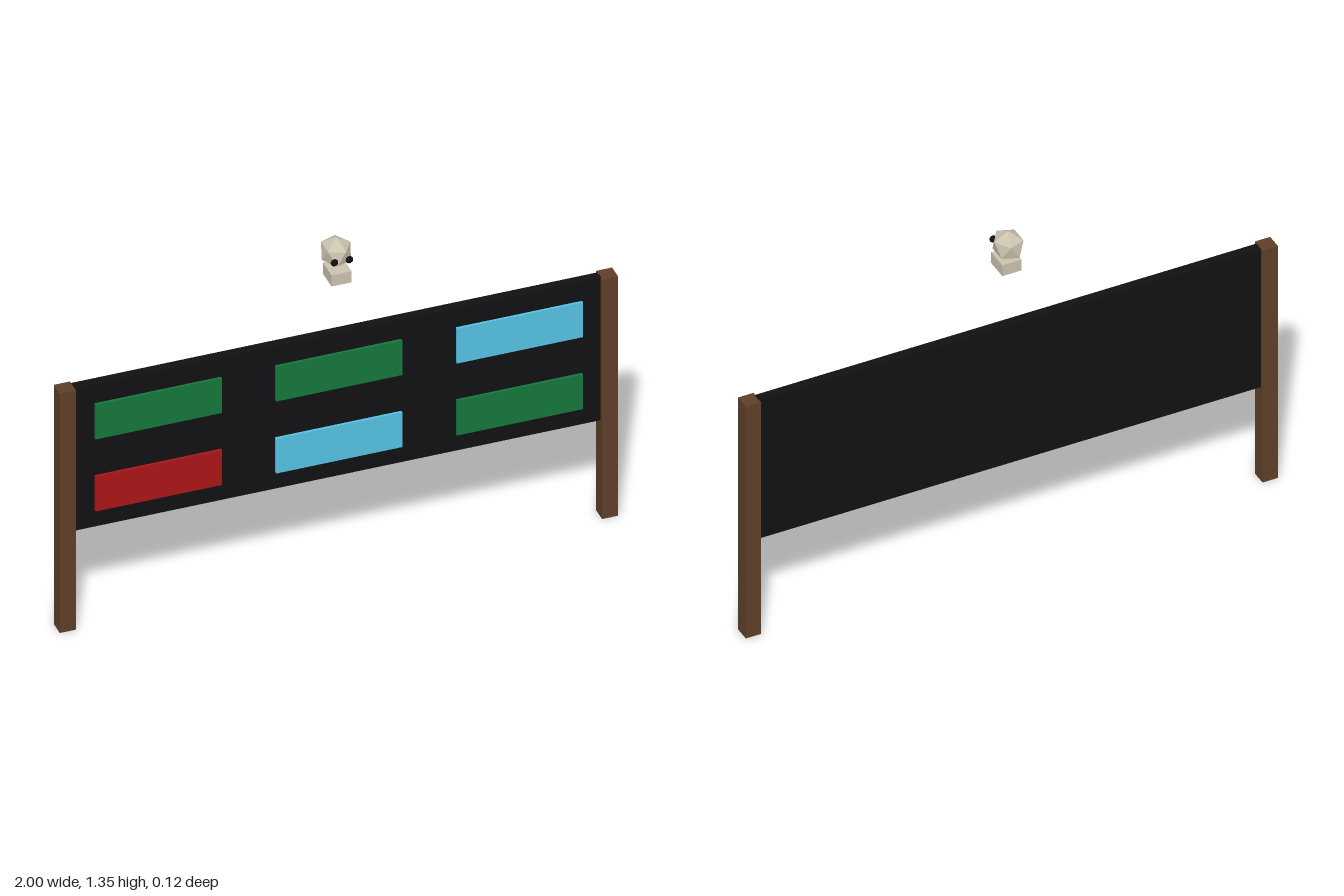
import * as THREE from 'three';

const mat = (color, flatShading = false) =>
  new THREE.MeshStandardMaterial({ color, flatShading });

const wood = mat(0x5f3f28);
const black = mat(0x111113);
const bone = mat(0xcbc2ae, true);
const green = mat(0x15773c);
const red = mat(0xaa1518);
const blue = mat(0x54c2e2);

export function createModel() {
  const model = new THREE.Group();

  const add = (name, geometry, material, x, y, z, parent = model) => {
    const mesh = new THREE.Mesh(geometry, material);
    mesh.name = name;
    mesh.position.set(x, y, z);
    parent.add(mesh);
    return mesh;
  };

  // Two square posts
  const postGeo = new THREE.BoxGeometry(0.058, 0.97, 0.058);
  add('leftPost', postGeo, wood, 0.971, 0.485, -0.0035);
  add('rightPost', postGeo, wood, -0.971, 0.485, -0.0035);

  // Board between the posts
  add('board', new THREE.BoxGeometry(1.89, 0.577, 0.035), black, 0, 0.6815, -0.005);

  // Coloured cards in two rows of three
  const cardGeo = new THREE.BoxGeometry(0.452, 0.141, 0.01);
  const rows = [
    { y: 0.827, colors: [green, green, blue] },
    { y: 0.535, colors: [red, blue, green] },
  ];
  for (const { y, colors } of rows) {
    colors.forEach((m, i) => add('card', cardGeo, m, (i - 1) * 0.647, y, 0.0235));
  }

  // Floating skull: faceted cranium with one vertex straight up
  const skull = new THREE.Group();
  skull.name = 'skull';
  model.add(skull);
  const cranium = new THREE.IcosahedronGeometry(1, 0);
  cranium.rotateX(-Math.atan((1 + Math.sqrt(5)) / 2));
  cranium.rotateY(Math.PI / 2);
  cranium.scale(0.057, 0.0565, 0.065);
  add('cranium', cranium, bone, 0, 1.294, -0.0035, skull);

  // Jaw block
  add('jaw', new THREE.BoxGeometry(0.072, 0.045, 0.083), bone, 0, 1.2145, 0.009, skull);

  // Flattened eye sockets
  const eyeGeo = new THREE.SphereGeometry(0.0135, 12, 8).scale(1, 1, 0.6);
  for (const side of [-1, 1]) {
    add('eye', eyeGeo, black, side * 0.027, 1.288, 0.0535, skull);
  }

  return model;
}
